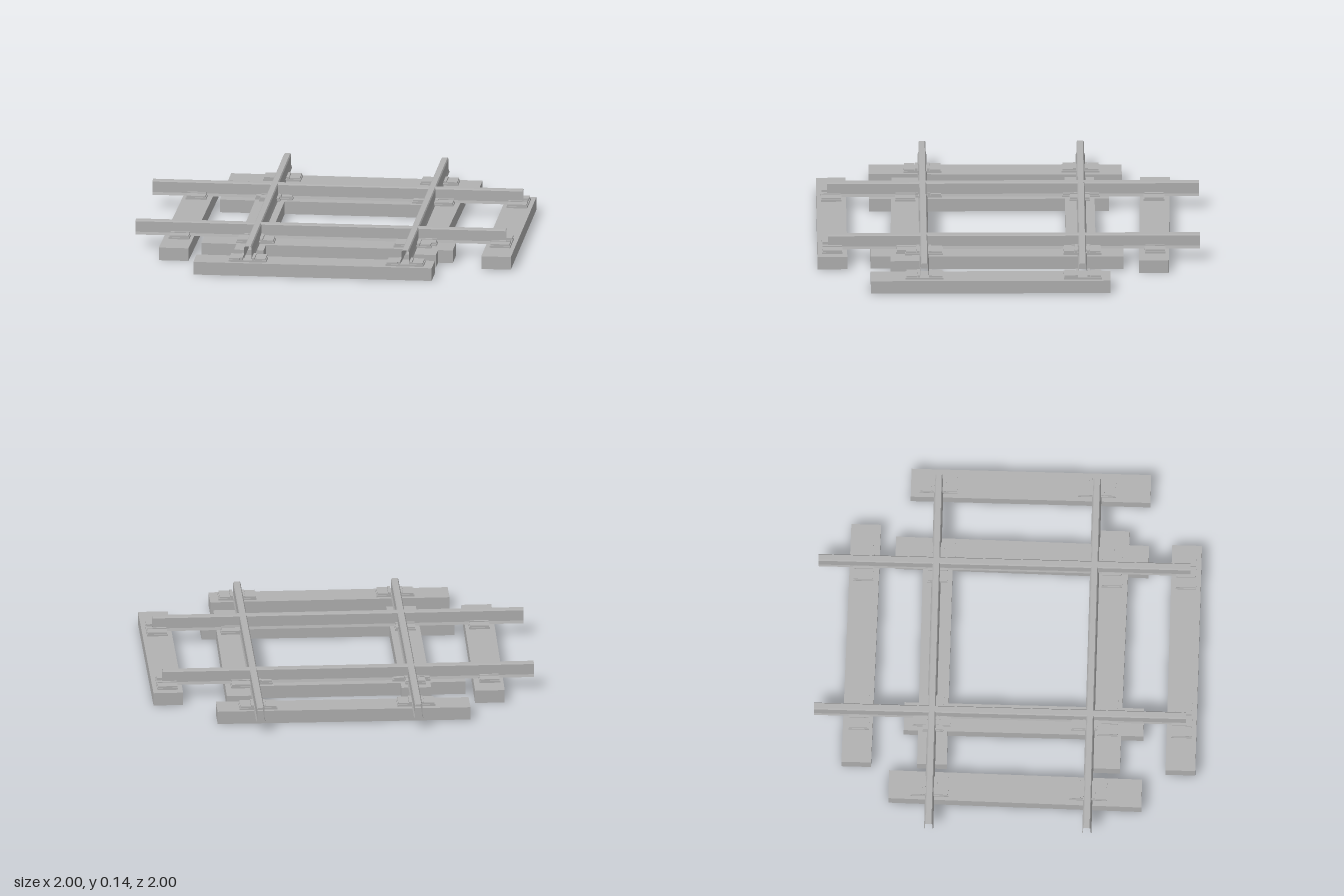
import * as THREE from 'three';

const steel = new THREE.MeshStandardMaterial({ color: 0xb2b2b2, side: THREE.DoubleSide });
steel.name = 'grey';

function add(parent, name, geometry, x = 0, y = 0, z = 0) {
  const mesh = new THREE.Mesh(geometry, steel);
  mesh.name = name;
  mesh.position.set(x, y, z);
  parent.add(mesh);
  return mesh;
}

// Hollow sleeper without an underside, slightly skewed along its length
function sleeperGeometry(length, skew) {
  const g = new THREE.BoxGeometry(length, 0.068, 0.155);
  const p = g.attributes.position;
  for (let i = 0; i < p.count; i++) p.setZ(i, p.getZ(i) + skew * p.getX(i));
  const index = Array.from(g.index.array);
  index.splice(18, 6);
  g.setIndex(index);
  g.clearGroups();
  return g;
}

// Rail shell: bevelled head, straight web, flared foot, open ends and underside
function railGeometry(z0, z1) {
  const half = [[0.024, 0.068], [0.019, 0.082], [0.019, 0.138], [0.014, 0.145]];
  const profile = [...half, ...half.slice().reverse().map(([x, y]) => [-x, y])];
  const pos = [];
  for (let i = 0; i < profile.length - 1; i++) {
    const [ax, ay] = profile[i], [bx, by] = profile[i + 1];
    pos.push(ax, ay, z1, ax, ay, z0, bx, by, z0);
    pos.push(ax, ay, z1, bx, by, z0, bx, by, z1);
  }
  const g = new THREE.BufferGeometry();
  g.setAttribute('position', new THREE.Float32BufferAttribute(pos, 3));
  g.computeVertexNormals();
  return g;
}

// Stepped fastening plates on both sides of a rail
function addFastening(parent, x, z) {
  const fastening = new THREE.Group();
  fastening.name = 'railFastening';
  fastening.position.set(x, 0.068, z);
  add(fastening, 'basePlate', new THREE.BoxGeometry(0.198, 0.01, 0.108), 0, 0.005, 0);
  for (const s of [-1, 1]) {
    add(fastening, 'clampPlate', new THREE.BoxGeometry(0.055, 0.01, 0.1), s * 0.067, 0.014, 0);
    add(fastening, 'clampLug', new THREE.BoxGeometry(0.014, 0.014, 0.1), s * 0.031, 0.016, 0);
  }
  parent.add(fastening);
}

function createTrack(name) {
  const track = new THREE.Group();
  track.name = name;
  const railX = [-0.36, 0.465];
  // Sleepers: centre z, right end x, skew
  const sleepers = [[-0.765, 0.68, 0.0115], [-0.378, 0.61, 0], [0.532, 0.68, 0.0115], [0.918, 0.61, 0]];
  for (const [z, end, skew] of sleepers) {
    add(track, 'sleeper', sleeperGeometry(end + 0.64, skew), (end - 0.64) / 2, 0.034, z);
    for (const x of railX) addFastening(track, x, z);
  }
  for (const x of railX) add(track, 'rail', railGeometry(-1, 0.94), x);
  return track;
}

export function createModel() {
  const model = new THREE.Group();
  model.name = 'railCrossing';
  const lengthwise = createTrack('lengthwiseTrack');
  // The second track is the first turned a quarter
  const crosswise = createTrack('crosswiseTrack');
  crosswise.rotation.y = Math.PI / 2;
  crosswise.position.z = 0.08;
  model.add(lengthwise, crosswise);
  return model;
}
